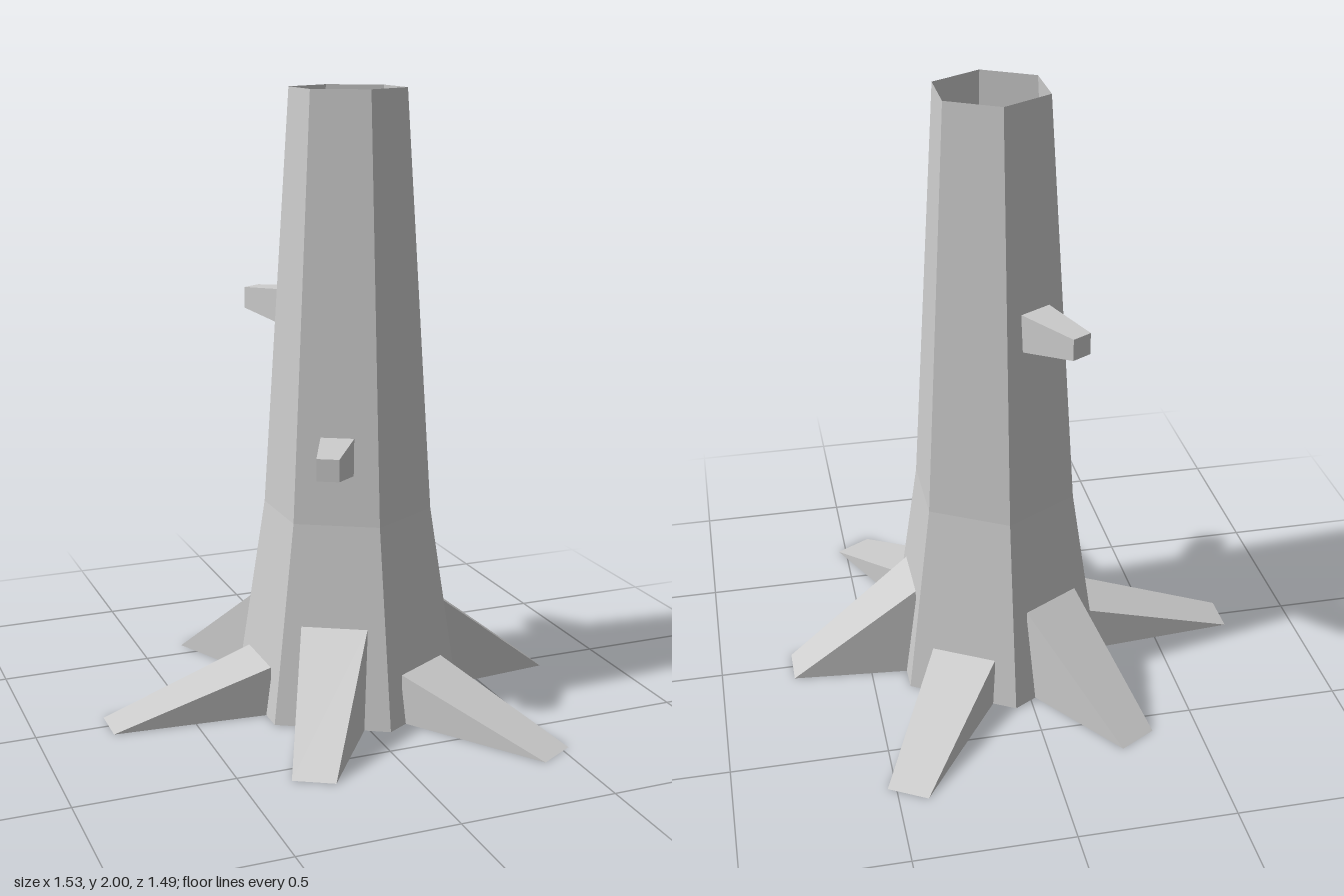
import * as THREE from 'three';

const bark = new THREE.MeshStandardMaterial({ color: 0xcccccc, flatShading: true, side: THREE.DoubleSide });
bark.name = 'greyBark';

// Tapered block running along +z between two end sections { r, w (half width), bottom, top }
function taper(inner, outer) {
  const geo = new THREE.BoxGeometry(2, 1, 1);
  const p = geo.attributes.position;
  for (let i = 0; i < p.count; i++) {
    const end = p.getZ(i) > 0 ? outer : inner;
    p.setXYZ(i, p.getX(i) * end.w, p.getY(i) > 0 ? end.top : end.bottom, end.r);
  }
  geo.computeVertexNormals();
  return geo;
}

export function createModel() {
  const model = new THREE.Group();
  model.name = 'treeStump';
  const tree = new THREE.Group();
  tree.name = 'tree';
  tree.position.x = 0.057;
  model.add(tree);

  const add = (name, geo, degrees = 0) => {
    const mesh = new THREE.Mesh(geo, bark);
    mesh.name = name;
    mesh.rotation.y = THREE.MathUtils.degToRad(degrees);
    tree.add(mesh);
  };

  // Hollow six-sided trunk, open at the top
  const profile = [[0.375, 0], [0.275, 0.65], [0.187, 2]].map(([r, y]) => new THREE.Vector2(r, y));
  add('trunk', new THREE.LatheGeometry(profile, 6));

  // Flat underside of the trunk
  add('trunkBase', new THREE.CircleGeometry(0.375, 6, Math.PI / 6).rotateX(Math.PI / 2));

  // Six wedge roots, alternating long and low with short and tall
  const longRoot = taper({ r: 0.308, w: 0.108, bottom: 0, top: 0.163 }, { r: 0.822, w: 0.068, bottom: 0, top: 0 });
  const tallRoot = taper({ r: 0.286, w: 0.106, bottom: 0, top: 0.325 }, { r: 0.703, w: 0.067, bottom: 0, top: 0 });
  for (const a of [30, 150, -90]) add('longRoot', longRoot, a);
  for (const a of [90, -30, -150]) add('tallRoot', tallRoot, a);

  // Two broken branch stubs
  add('frontStub', taper({ r: 0.215, w: 0.054, bottom: 0.81, top: 0.932 }, { r: 0.424, w: 0.035, bottom: 0.848, top: 0.918 }), -30);
  add('backStub', taper({ r: 0.2, w: 0.057, bottom: 1.225, top: 1.35 }, { r: 0.406, w: 0.035, bottom: 1.265, top: 1.335 }), -150);

  return model;
}
